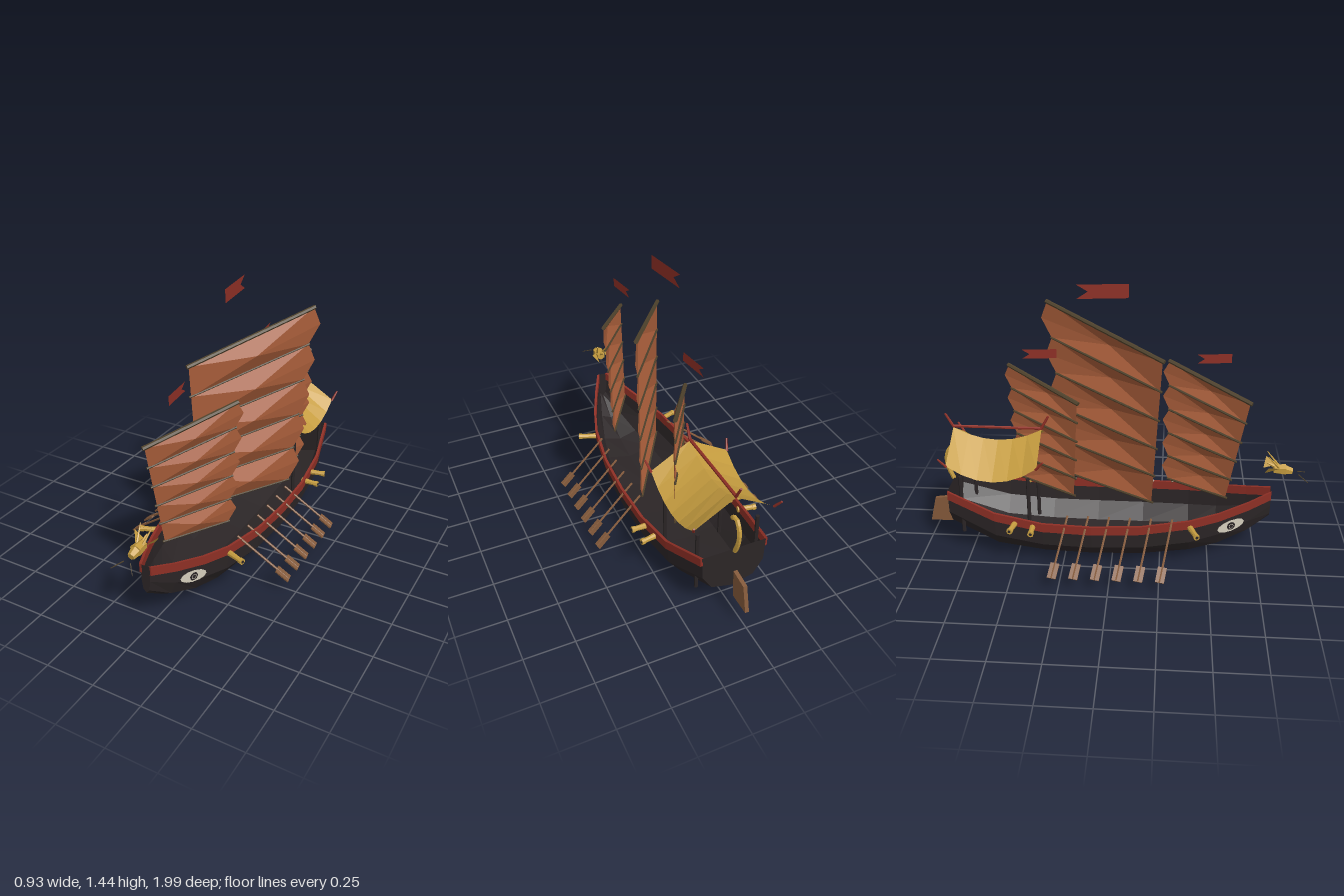
import * as THREE from 'three';

const V = (x, y, z) => new THREE.Vector3(x, y, z);
const mat = (name, color) => {
  const m = new THREE.MeshStandardMaterial({ color, flatShading: true, side: THREE.DoubleSide });
  m.name = name;
  return m;
};

export function createModel() {
  const hullBlack = mat('hull black', 0x2b2526);
  const red = mat('lacquer red', 0x8e2f25);
  const sailTan = mat('sail rust', 0xa65c39);
  const gold = mat('gold', 0xc59c3f);
  const wood = mat('oar wood', 0x83593a);
  const spar = mat('spar brown', 0x4f422c);
  const white = mat('eye white', 0xd6cfbd);

  const root = new THREE.Group();
  root.name = 'sailingShip';

  const add = (parent, name, geometry, material) => {
    const m = new THREE.Mesh(geometry, material);
    m.name = name;
    parent.add(m);
    return m;
  };
  const fromTriangles = (pts) => {
    const g = new THREE.BufferGeometry().setFromPoints(pts);
    g.computeVertexNormals();
    return g;
  };
  // Skin a row of cross-sections, with optional end caps
  const loft = (rows, closed = false, capped = false) => {
    const pts = [], n = rows[0].length;
    for (let i = 0; i < rows.length - 1; i++)
      for (let j = 0; j < (closed ? n : n - 1); j++) {
        const k = (j + 1) % n;
        const a = rows[i][j], b = rows[i][k], c = rows[i + 1][k], d = rows[i + 1][j];
        pts.push(a, b, c, a, c, d);
      }
    if (capped) {
      const s = rows[0], e = rows[rows.length - 1];
      for (let j = 1; j < n - 1; j++) pts.push(s[0], s[j + 1], s[j], e[0], e[j], e[j + 1]);
    }
    return fromTriangles(pts);
  };
  // Tapered bar between two points
  const bar = (parent, name, material, a, b, r1, r2 = r1, sides = 6) => {
    const m = add(parent, name, new THREE.CylinderGeometry(r2, r1, a.distanceTo(b), sides), material);
    m.position.copy(a).lerp(b, 0.5);
    m.quaternion.setFromUnitVectors(V(0, 1, 0), b.clone().sub(a).normalize());
    return m;
  };

  // Hull stations: z, half width, sheer height, keel height
  const stations = [
    [0.82, 0.025, 0.353, 0.2], [0.7, 0.085, 0.32, 0.11], [0.55, 0.15, 0.288, 0.05],
    [0.4, 0.2, 0.267, 0.022], [0.15, 0.24, 0.247, 0.004], [-0.1, 0.25, 0.24, 0],
    [-0.35, 0.245, 0.246, 0.006], [-0.6, 0.222, 0.285, 0.03], [-0.85, 0.165, 0.37, 0.14],
  ];
  const half = [[1, 1], [0.96, 0.46], [0.66, 0.125]];
  const section = [...half, [0, 0], ...half.slice().reverse().map(([x, y]) => [-x, y])];
  add(root, 'hull', loft(stations.map(([z, w, top, keel]) =>
    section.map(([x, y]) => V(x * w, keel + y * (top - keel), z))), false, true), hullBlack);

  // Everything mirrored on both sides
  const buildSide = (mirror) => {
    const g = new THREE.Group();
    g.name = mirror > 0 ? 'leftSide' : 'rightSide';

    add(g, 'rail', loft(stations.map(([z, w, t]) => [
      V(w + 0.008, t + 0.002, z), V(w + 0.007, t - 0.045, z),
      V(w - 0.006, t - 0.045, z), V(w - 0.006, t + 0.002, z)]), true, true), red);

    // Bow eye
    const n = V(0.92, -0.03, 0.4).normalize();
    const eye = new THREE.Group();
    eye.name = 'eye';
    eye.position.set(0.121, 0.205, 0.61).addScaledVector(n, 0.008);
    eye.lookAt(eye.position.clone().add(n));
    eye.rotateZ(-0.2);
    add(eye, 'eyeWhite', new THREE.CircleGeometry(1, 12), white).scale.set(0.077, 0.033, 1);
    const pupil = add(eye, 'pupil', new THREE.CircleGeometry(0.023, 10), hullBlack);
    pupil.position.z = 0.003;
    const glint = add(eye, 'pupilCentre', new THREE.RingGeometry(0.011, 0.014, 8), white);
    glint.position.z = 0.005;
    g.add(eye);

    // Oars
    for (let i = 0; i < 6; i++) {
      const z = 0.31 - i * 0.107;
      const a = V(0.2, 0.272, z), b = V(0.46, 0.07, z - 0.055);
      bar(g, 'oarShaft', wood, a, b, 0.006);
      const dir = b.clone().sub(a).normalize();
      const side = V(0, 0, 1).addScaledVector(dir, -dir.z).normalize();
      const blade = add(g, 'oarBlade', new THREE.BoxGeometry(0.045, 0.08, 0.008), wood);
      blade.quaternion.setFromRotationMatrix(
        new THREE.Matrix4().makeBasis(side, dir, side.clone().cross(dir)));
      blade.position.copy(b).addScaledVector(dir, -0.038);
    }

    // Cannons
    for (const [x, z, dz, y] of [[0.2, 0.4, 0.035, 0.23], [0.225, -0.4, 0, 0.228], [0.22, -0.49, -0.018, 0.237]]) {
      const a = V(x, y, z), b = V(x + 0.095, y, z + dz);
      bar(g, 'cannonBarrel', gold, a, b, 0.016, 0.012, 8);
      bar(g, 'cannonMuzzle', gold, a.clone().lerp(b, 0.82), b, 0.016, 0.016, 8);
      bar(g, 'cannonBore', hullBlack, b, b.clone().lerp(a, -0.02), 0.008);
    }

    // Canopy posts and corner horns
    for (const z of [-0.43, -0.78])
      bar(g, 'canopyPost', hullBlack, V(0.155, 0.06 + (z < -0.6 ? 0.07 : 0), z), V(0.155, 0.455, z), 0.01);
    bar(g, 'canopyHorn', red, V(0.204, 0.535, -0.38), V(0.22, 0.585, -0.34), 0.007, 0.005);
    bar(g, 'canopyHorn', red, V(0.204, 0.535, -0.832), V(0.22, 0.585, -0.868), 0.007, 0.005);

    // Figurehead horns, ears and whiskers
    bar(g, 'figureheadHorn', gold, V(0.015, 0.49, 0.85), V(0.033, 0.56, 0.79), 0.007, 0.002, 5);
    add(g, 'figureheadEar', fromTriangles([V(0.025, 0.49, 0.85), V(0.068, 0.515, 0.79), V(0.03, 0.465, 0.775)]), gold);
    bar(g, 'whisker', spar, V(0.018, 0.457, 0.95), V(0.058, 0.433, 0.995), 0.003, 0.002, 4);

    g.scale.x = mirror;
    root.add(g);
  };
  buildSide(1);
  buildSide(-1);

  // Battened sails, all set at the same angle
  const C = 0.853, S = 0.522, PANELS = 5;
  const sail = (name, { mastZ, rake = 0, luff, leech, bulge, belly }) => {
    const g = new THREE.Group();
    g.name = name;
    const P = (s, y, off = 0) => V(s * S + off * C, y, mastZ + rake * y - s * C + off * S);
    const edge = ([b, t], k) => [b[0] + (t[0] - b[0]) * k, b[1] + (t[1] - b[1]) * k];
    const pts = [];
    for (let i = 0; i <= PANELS; i++) {
      const l0 = edge(luff, i / PANELS), r0 = edge(leech, i / PANELS);
      const top = i === PANELS, r = top ? 0.011 : 0.006;
      bar(g, top ? 'yard' : 'batten', spar, P(l0[0] - 0.01, l0[1]), P(r0[0] + 0.006, r0[1]), r);
      if (top) break;
      const l1 = edge(luff, (i + 1) / PANELS), r1 = edge(leech, (i + 1) / PANELS);
      const rm = edge(leech, (i + 0.5) / PANELS), lm = edge(luff, (i + 0.5) / PANELS);
      const mid = P((lm[0] + rm[0]) / 2, (lm[1] + rm[1]) / 2, belly);
      const ring = [P(...l0), P(...r0), P(rm[0] + bulge, rm[1]), P(...r1), P(...l1)];
      ring.forEach((p, j) => pts.push(mid, p, ring[(j + 1) % 5]));
    }
    add(g, 'sailPanels', fromTriangles(pts), sailTan);
    root.add(g);
  };
  // Edges run from bottom to top as [distance behind mast, height]
  sail('mainSail', { mastZ: 0.07, luff: [[-0.152, 0.3], [-0.2, 1.09]], leech: [[0.387, 0.3], [0.509, 1.265]], bulge: 0.055, belly: 0.045 });
  sail('foreSail', { mastZ: 0.468, rake: 0.1, luff: [[-0.095, 0.325], [-0.14, 0.87]], leech: [[0.255, 0.325], [0.34, 0.988]], bulge: 0.04, belly: 0.03 });
  sail('aftSail', { mastZ: -0.285, luff: [[-0.09, 0.305], [-0.12, 0.84]], leech: [[0.265, 0.305], [0.322, 0.948]], bulge: 0.04, belly: 0.03 });

  // Swallow-tailed pennants
  for (const [z, y, len, h] of [[0.07, 1.405, 0.25, 0.07], [0.576, 1.077, 0.17, 0.047], [-0.285, 1.08, 0.17, 0.047]]) {
    const s = new THREE.Shape([[0, -h / 2], [len, -h / 2], [len * 0.78, 0], [len, h / 2], [0, h / 2]]
      .map(([a, b]) => new THREE.Vector2(a, b)));
    const f = add(root, 'pennant', new THREE.ShapeGeometry(s), red);
    f.position.set(0, y, z);
    f.rotation.y = Math.PI / 2 + 0.12;
  }

  // Sagging stern canopy with ridge pole
  const rows = [];
  for (let i = 0; i <= 6; i++) {
    const t = i / 3 - 1, sag = 1 - t * t, z = -0.605 - 0.23 * t;
    const eave = 0.54 - 0.085 * sag, ridge = 0.66 - 0.065 * sag;
    rows.push([V(-0.205, eave, z), V(0, ridge, z), V(0.205, eave, z)]);
  }
  add(root, 'canopy', loft(rows), gold);
  bar(root, 'ridgePole', red, V(0, 0.667, -0.375), V(0, 0.667, -0.835), 0.008);
  bar(root, 'ridgeFinial', red, V(0, 0.665, -0.833), V(0, 0.737, -0.872), 0.008, 0.006);
  bar(root, 'ridgeFinial', red, V(0, 0.665, -0.377), V(0, 0.737, -0.338), 0.008, 0.006);

  // Curled stern tail
  const tail = new THREE.CatmullRomCurve3([V(0, 0.36, -0.855), V(0, 0.43, -0.88), V(0, 0.5, -0.882), V(0, 0.55, -0.85), V(0, 0.53, -0.815)]);
  add(root, 'sternTail', new THREE.TubeGeometry(tail, 10, 0.012, 6), gold);

  // Rudder
  const blade = new THREE.Shape([[0.87, 0.25], [0.965, 0.237], [0.998, 0.1], [0.88, 0.1]].map(([a, b]) => new THREE.Vector2(a, b)));
  const rudder = add(root, 'rudder', new THREE.ExtrudeGeometry(blade, { depth: 0.02, bevelEnabled: false }), wood);
  rudder.rotation.y = Math.PI / 2;
  rudder.position.x = -0.01;

  // Figurehead
  bar(root, 'figureheadHead', gold, V(0, 0.477, 0.825), V(0, 0.476, 0.885), 0.024, 0.031, 6);
  bar(root, 'figureheadSnout', gold, V(0, 0.474, 0.88), V(0, 0.466, 0.92), 0.027, 0.018, 6);
  bar(root, 'figureheadCrest', gold, V(0, 0.485, 0.84), V(0, 0.51, 0.79), 0.012, 0.003, 5);

  return root;
}
